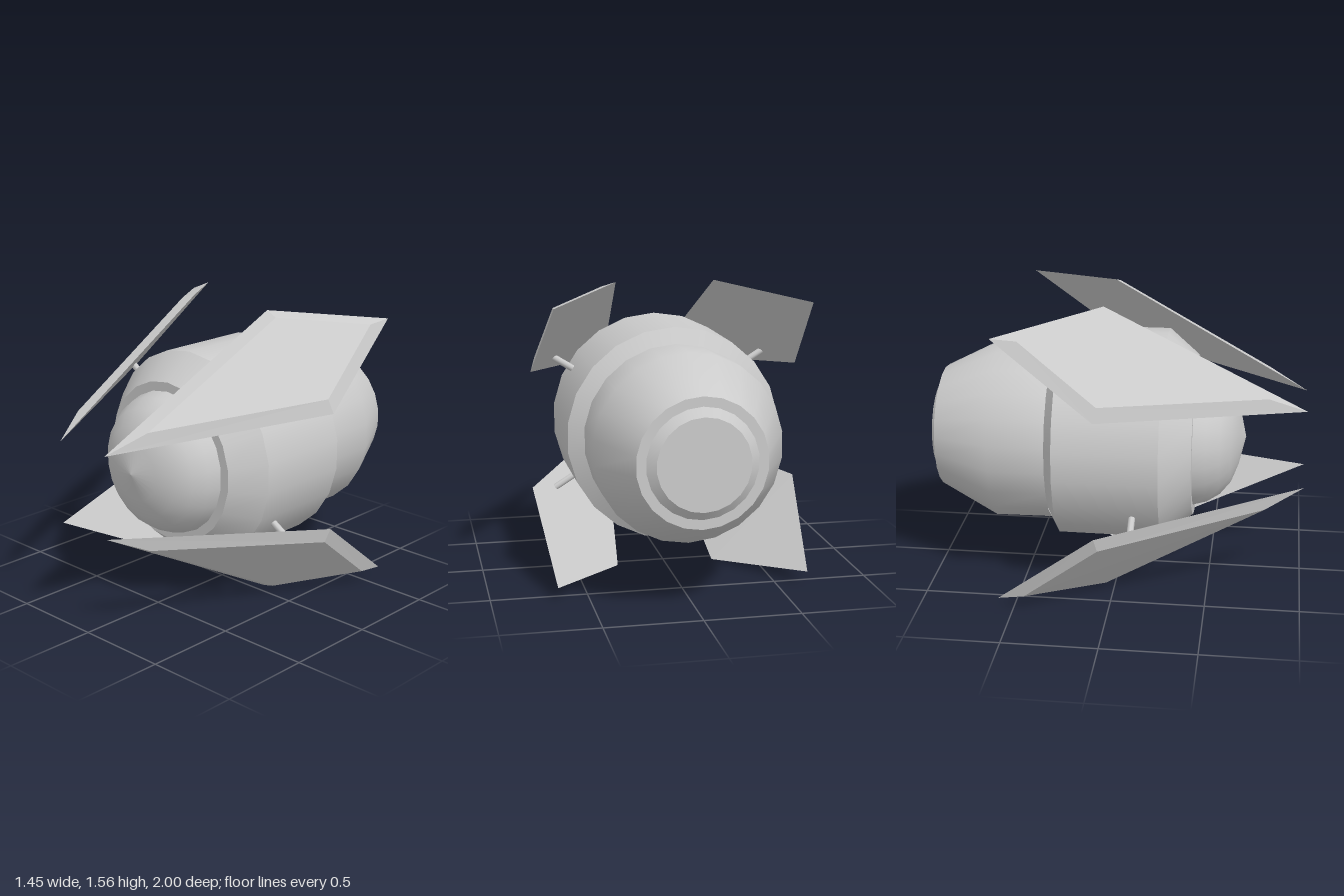
import * as THREE from 'three';

const CY = 0.783; // height of the hull axis
const grey = new THREE.MeshStandardMaterial({ color: 0xcccccc, side: THREE.DoubleSide });

// Solid of revolution about z; profile points are [radius, z] from back to front
function turned(name, profile) {
  const points = profile.map(([r, z]) => new THREE.Vector2(r, z));
  const geometry = new THREE.LatheGeometry(points, 22).rotateX(Math.PI / 2);
  const mesh = new THREE.Mesh(geometry, grey);
  mesh.name = name;
  mesh.position.y = CY;
  return mesh;
}

// Kite-shaped panel: flat inner face, smaller raised outer face, sloped rims
function wing(sx, sy) {
  const v = (x, y, z) => new THREE.Vector3(x, y, z);
  const tip = v(0.165, 0.217, 1), low = v(0.725, 0.315, -0.06);
  const tail = v(0.66, 0.712, -0.575), high = v(0.265, 0.78, -0.06);
  const inner = [tip, low, tail, high];
  const normal = v(1, 1, 0.63).normalize();
  const inset = [0.14, 0.108, 0.075, 0.108];
  const outer = inner.map((p, i) =>
    p.clone().lerp(inner[(i + 2) % 4], inset[i]).addScaledVector(normal, 0.04));

  const positions = [];
  const quad = (a, b, c, d) => {
    const corners = [a, b, c, a, c, d];
    if (sx * sy < 0) corners.reverse();
    corners.forEach(p => positions.push(p.x * sx, p.y * sy, p.z));
  };
  quad(...outer);
  quad(...[...inner].reverse());
  for (let i = 0; i < 4; i++) {
    const j = (i + 1) % 4;
    quad(inner[i], inner[j], outer[j], outer[i]);
  }
  const geometry = new THREE.BufferGeometry();
  geometry.setAttribute('position', new THREE.Float32BufferAttribute(positions, 3));
  geometry.computeVertexNormals();
  const mesh = new THREE.Mesh(geometry, grey);
  mesh.name = 'wingPanel';
  return mesh;
}

// Short radial rod from the hull to the inner face of a wing
function strut(sx, sy) {
  const direction = new THREE.Vector3(0.85 * sx, 0.53 * sy, 0).normalize();
  const mesh = new THREE.Mesh(new THREE.CylinderGeometry(0.018, 0.018, 0.18, 8), grey);
  mesh.name = 'wingStrut';
  mesh.quaternion.setFromUnitVectors(new THREE.Vector3(0, 1, 0), direction);
  mesh.position.copy(direction).multiplyScalar(0.6).setZ(0.11);
  return mesh;
}

export function createModel() {
  const model = new THREE.Group();
  model.name = 'spacecraft';

  // Rear engine barrel with its stepped end
  model.add(turned('engineCap', [[0, -1], [0.235, -1]]));
  model.add(turned('engineRim', [[0.235, -1], [0.28, -0.965]]));
  model.add(turned('engineShoulder', [[0.28, -0.965], [0.33, -0.965]]));
  model.add(turned('engineBarrel', [[0.33, -0.965], [0.49, -0.65], [0.487, -0.35]]));

  // Cylindrical cabin with a chamfer at each end
  model.add(turned('cabinRearChamfer', [[0.475, -0.355], [0.568, -0.3]]));
  model.add(turned('cabin', [[0.568, -0.3], [0.57, 0.25]]));
  model.add(turned('cabinFrontChamfer', [[0.57, 0.25], [0.435, 0.41]]));

  // Flat lip around a domed nose with a blunt conical tip
  model.add(turned('noseLip', [[0.435, 0.41], [0.385, 0.41]]));
  model.add(turned('noseDome', [
    [0.385, 0.41], [0.365, 0.48], [0.32, 0.55], [0.25, 0.607], [0.15, 0.645], [0, 0.68],
  ]));

  // Four wings, mirrored across both axes
  for (const sx of [1, -1]) {
    for (const sy of [1, -1]) {
      const group = new THREE.Group();
      group.name = `${sy > 0 ? 'upper' : 'lower'}${sx > 0 ? 'Left' : 'Right'}Wing`;
      group.position.y = CY;
      group.add(wing(sx, sy), strut(sx, sy));
      model.add(group);
    }
  }
  return model;
}
